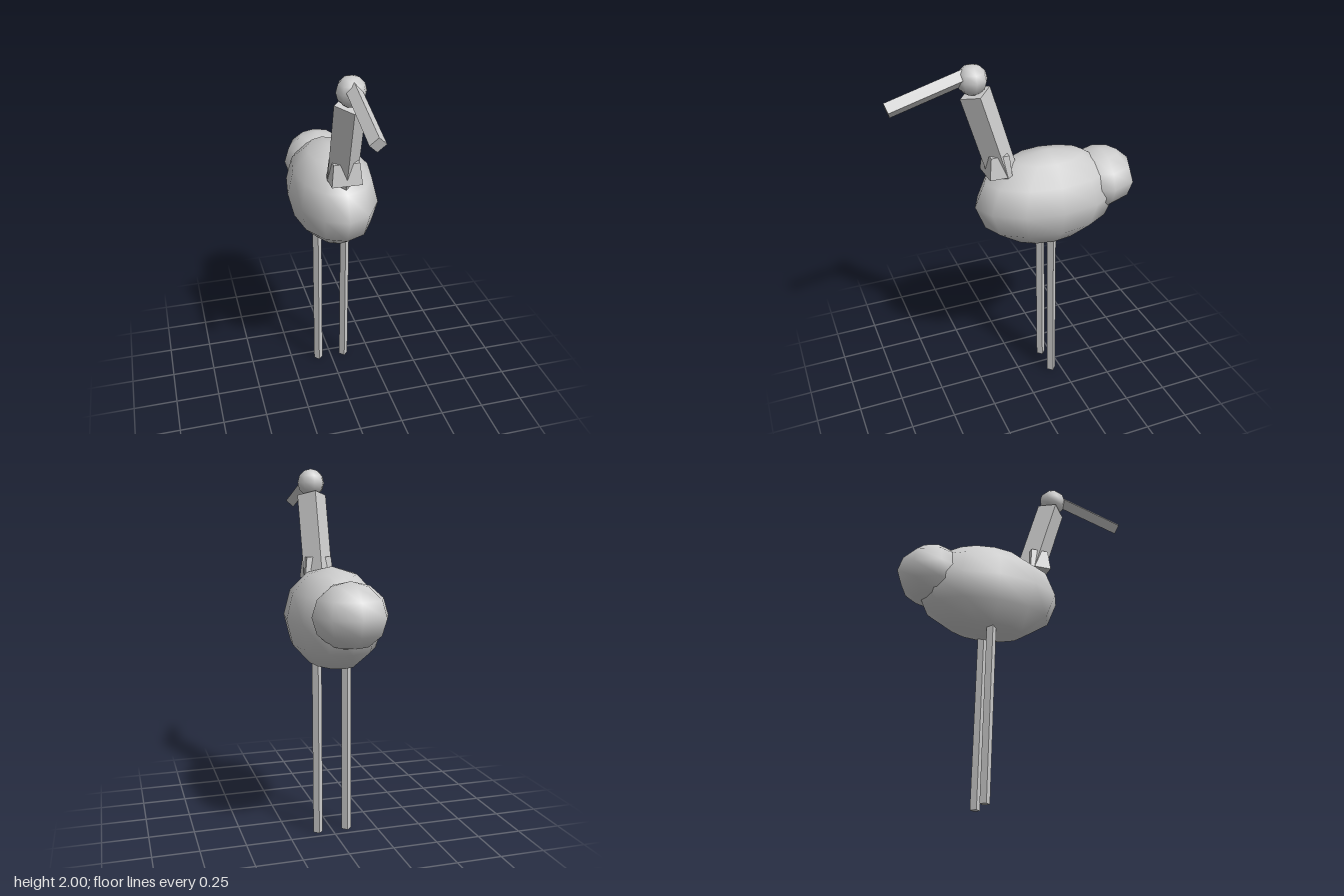
import * as THREE from 'three';

const UP = new THREE.Vector3(0, 1, 0);

export function createModel() {
  const group = new THREE.Group();
  const grey = new THREE.MeshStandardMaterial({ color: 0xcccccc });
  grey.name = 'plain grey';

  function add(name, geometry) {
    const mesh = new THREE.Mesh(geometry, grey);
    mesh.name = name;
    group.add(mesh);
    return mesh;
  }

  // Smooth, coarse ellipsoid
  function ellipsoid(name, segments, center, radii) {
    const geometry = new THREE.SphereGeometry(1, segments, 6);
    geometry.scale(...radii);
    add(name, geometry).position.set(...center);
  }

  // Four-sided faceted bar running between two points, edges facing x and z
  function bar(name, from, to, radius) {
    const a = new THREE.Vector3(...from);
    const b = new THREE.Vector3(...to);
    const geometry = new THREE.CylinderGeometry(radius, radius, a.distanceTo(b), 4).toNonIndexed();
    geometry.computeVertexNormals();
    const mesh = add(name, geometry);
    mesh.position.copy(a).lerp(b, 0.5);
    mesh.quaternion.setFromUnitVectors(UP, b.sub(a).normalize());
  }

  ellipsoid('body', 12, [0, 1.205, -0.17], [0.248, 0.275, 0.42]);
  ellipsoid('tail', 8, [0, 1.26, -0.49], [0.2, 0.172, 0.2]);
  ellipsoid('head', 8, [0, 1.922, 0.243], [0.078, 0.078, 0.08]);

  bar('neck', [0, 1.38, 0.085], [0, 1.853, 0.23], 0.083);
  bar('beak', [0, 1.948, 0.26], [0, 1.825, 0.678], 0.041);

  // Tapered collar whose corners poke out of the neck's sides
  const collar = new THREE.BoxGeometry(0.14, 0.12, 0.1);
  const p = collar.attributes.position;
  for (let i = 0; i < p.count; i++) {
    if (p.getY(i) < 0) p.setXYZ(i, p.getX(i) * 1.18, p.getY(i), p.getZ(i) * 1.25);
  }
  collar.computeVertexNormals();
  add('collar', collar).position.set(0, 1.453, 0.126);

  for (const [name, x] of [['leftLeg', 0.083], ['rightLeg', -0.083]]) {
    bar(name, [x, 0, -0.19], [x, 1, -0.168], 0.027);
  }
  return group;
}
